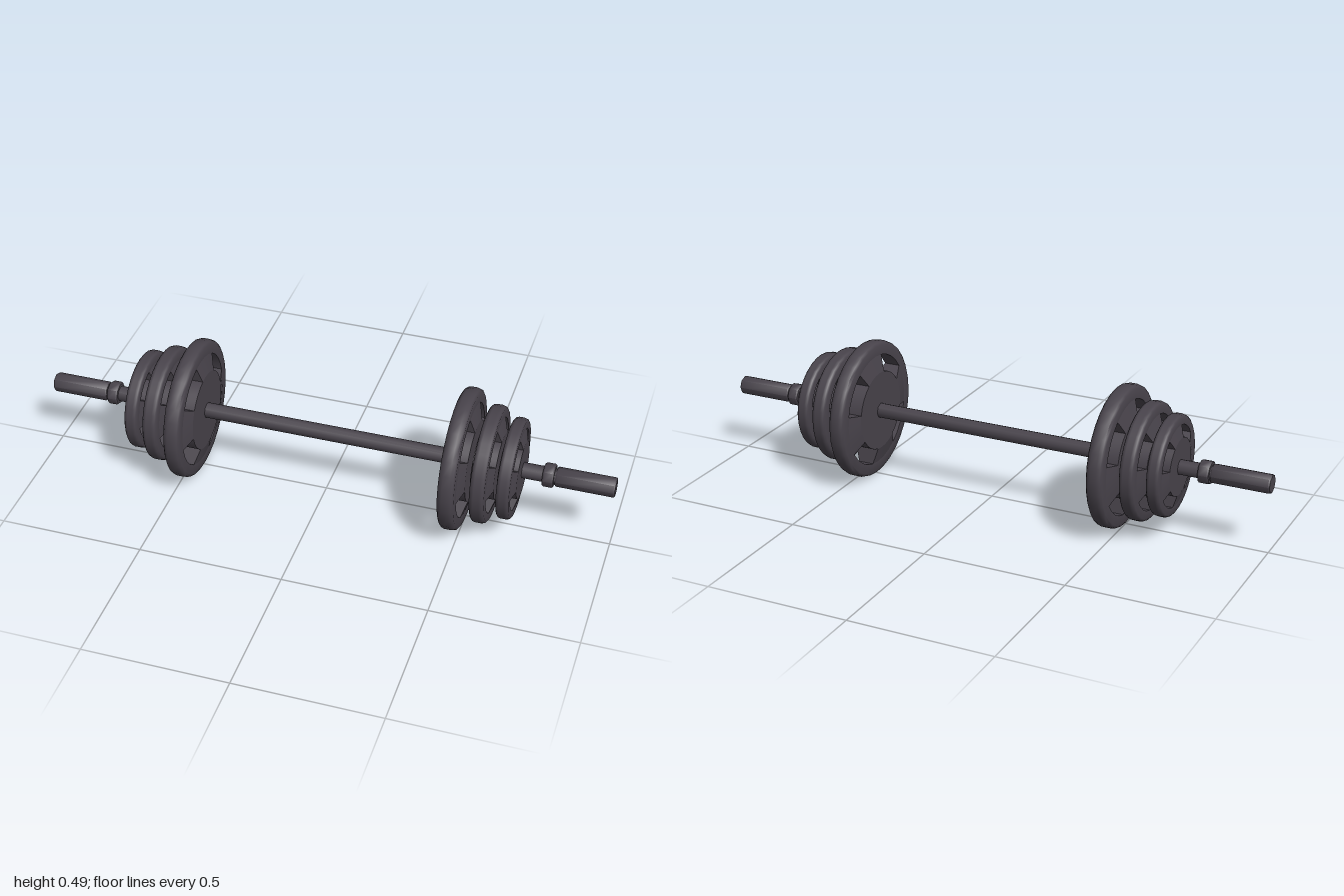
import * as THREE from 'three';
import { mergeGeometries, toCreasedNormals } from 'three/addons/utils/BufferGeometryUtils.js';

const AXIS_Y = 0.244;
const STEP = Math.PI / 16; // one of 32 sides
const iron = new THREE.MeshStandardMaterial({ color: 0x48434b, side: THREE.DoubleSide });
iron.name = 'dark iron';

const points = list => list.map(([r, y]) => new THREE.Vector2(r, y));
const lathe = (list, sides, start = 0, length = Math.PI * 2) =>
  new THREE.LatheGeometry(points(list), sides, start, length);

// Lay a piece turned around y along the x axis
function addTurned(group, name, geometry, crease) {
  const mesh = new THREE.Mesh(toCreasedNormals(geometry, crease), iron);
  mesh.name = name;
  mesh.rotation.z = -Math.PI / 2;
  group.add(mesh);
}

// Weight plate: thick hub, four tapered spokes and a rounded rim around four slots
function createPlate(name, x, radius, hubHalf, rimHalf) {
  const plate = new THREE.Group();
  plate.name = name;
  plate.position.x = x;
  const inner = radius * 0.575, outer = radius * 0.81;

  addTurned(plate, 'hub', lathe([
    [0.015, -hubHalf], [inner, -hubHalf], [inner, hubHalf], [0.015, hubHalf],
  ], 32), 0.6);

  addTurned(plate, 'rim', lathe([
    [outer, -rimHalf], [radius * 0.95, -rimHalf], [radius * 0.985, -rimHalf * 0.8],
    [radius, -rimHalf * 0.4], [radius, rimHalf * 0.4], [radius * 0.985, rimHalf * 0.8],
    [radius * 0.95, rimHalf], [outer, rimHalf], [outer, -rimHalf],
  ], 32), 0.9);

  const section = [[inner, -hubHalf], [outer, -rimHalf], [outer, rimHalf], [inner, hubHalf]];
  const faces = [[section[0], section[1]], [section[2], section[3]]];
  const pieces = [];
  for (let i = 0; i < 4; i++) {
    const start = (5 + i * 8) * STEP, length = 4 * STEP;
    for (const face of faces) pieces.push(lathe(face, 4, start, length));
    for (const angle of [start, start + length]) {
      pieces.push(new THREE.ShapeGeometry(new THREE.Shape(points(section))).rotateY(angle - Math.PI / 2));
    }
  }
  addTurned(plate, 'spokes', mergeGeometries(pieces), 0.6);
  return plate;
}

export function createModel() {
  const model = new THREE.Group();
  model.name = 'barbell';

  const barbell = new THREE.Group();
  barbell.name = 'loadedBar';
  barbell.position.y = AXIS_Y;
  model.add(barbell);

  // Bar running through all plates
  addTurned(barbell, 'bar', new THREE.CylinderGeometry(0.027, 0.027, 1.64, 8), 0.9);

  for (const side of [-1, 1]) {
    const label = side > 0 ? 'left' : 'right';

    // Plates from the large inner one to the small outer one
    barbell.add(
      createPlate(label + 'LargePlate', side * 0.478, 0.244, 0.044, 0.028),
      createPlate(label + 'MediumPlate', side * 0.573, 0.202, 0.04, 0.025),
      createPlate(label + 'SmallPlate', side * 0.653, 0.173, 0.033, 0.022),
    );

    // Locking collar and end sleeve, both bevelled
    const end = new THREE.Group();
    end.name = label + 'End';
    if (side < 0) end.rotation.y = Math.PI;
    addTurned(end, 'collar', lathe([
      [0.02, 0.757], [0.037, 0.757], [0.041, 0.762], [0.041, 0.79], [0.037, 0.795], [0.02, 0.795],
    ], 8), 0.9);
    addTurned(end, 'sleeve', lathe([
      [0.02, 0.8], [0.031, 0.8], [0.034, 0.804], [0.034, 0.995], [0.031, 1], [0, 1],
    ], 8), 0.9);
    barbell.add(end);
  }
  return model;
}
